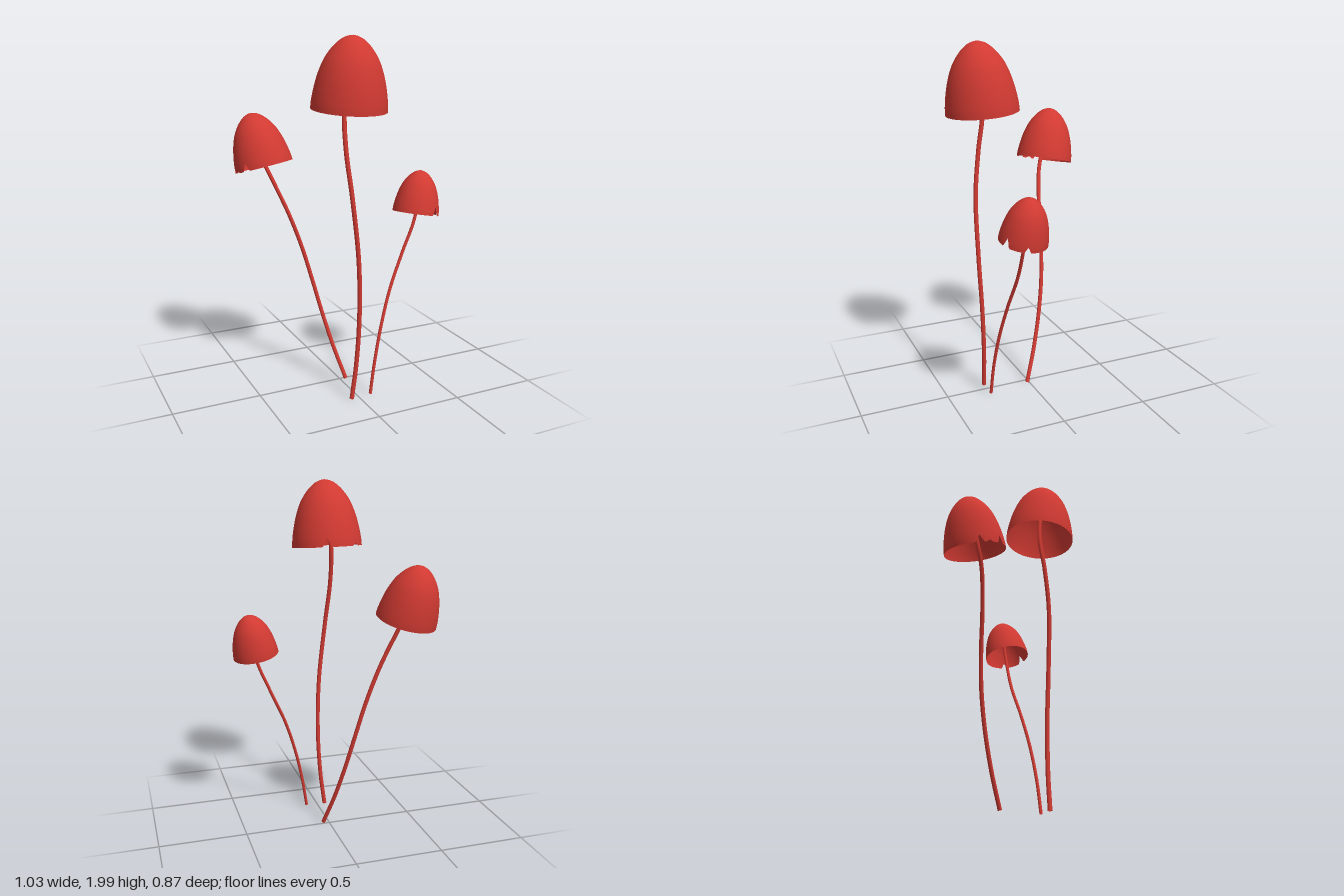
import * as THREE from 'three';

const V = (a) => new THREE.Vector3(...a);

// Dome outline as fractions of rim radius and cap height, rim to tip
const DOME = [[1, 0], [0.985, 0.12], [0.93, 0.3], [0.84, 0.49], [0.7, 0.68],
  [0.5, 0.84], [0.29, 0.945], [0.12, 0.988], [0, 1]];
const domeCurve = new THREE.SplineCurve(DOME.map(([r, h]) => new THREE.Vector2(r, h)));
const domePoints = domeCurve.getPoints(64);

// Radius fraction of the dome at a height fraction
function radiusAt(h) {
  const i = Math.max(1, domePoints.findIndex((p) => p.y >= h));
  const a = domePoints[i - 1], b = domePoints[i];
  return THREE.MathUtils.mapLinear(h, a.y, b.y, a.x, b.x);
}

// Thin open cap; each tear is [x, z, half width, depth], x/z giving its direction
function capGeometry(radius, height, tears) {
  const geo = new THREE.LatheGeometry(
    domePoints.map((p) => new THREE.Vector2(Math.max(0, p.x) * radius, p.y * height)), 144);
  const pos = geo.attributes.position;
  for (let i = 0; i < pos.count; i++) {
    const x = pos.getX(i), y = pos.getY(i), z = pos.getZ(i);
    const angle = Math.atan2(x, z);
    let lift = 0;
    for (const [tx, tz, half, depth] of tears) {
      let d = angle - Math.atan2(tx, tz);
      d = Math.abs(Math.atan2(Math.sin(d), Math.cos(d)));
      lift = Math.max(lift, depth * (1 - d / (half / radius)));
    }
    // Raise the rim along the dome wall to open the tear
    if (y < lift) {
      const r = radiusAt(lift / height) * radius;
      pos.setXYZ(i, r * Math.sin(angle), lift, r * Math.cos(angle));
    }
  }
  return geo;
}

const MUSHROOMS = [
  {
    name: 'tallMushroom', stemRadius: 0.0125,
    stem: [[-0.047, 0.01, 0.26], [-0.022, 0.22, 0.265], [-0.01, 0.5, 0.275], [-0.022, 0.82, 0.287],
      [-0.06, 1.17, 0.283], [-0.083, 1.42, 0.253], [-0.08, 1.63, 0.227], [-0.054, 1.98, 0.268]],
    rim: [-0.058, 1.625, 0.235], axis: [0.02, 1, 0.085], radius: 0.2, height: 0.375,
    tears: [[0.28, -0.96, 0.024, 0.06], [-0.6, -0.8, 0.022, 0.015]],
  },
  {
    name: 'middleMushroom', stemRadius: 0.0115,
    stem: [[0.033, 0.01, 0.014], [-0.018, 0.2, -0.052], [-0.065, 0.4, -0.105], [-0.111, 0.6, -0.142],
      [-0.165, 0.8, -0.164], [-0.235, 1.0, -0.183], [-0.318, 1.2, -0.218], [-0.358, 1.31, -0.255],
      [-0.396, 1.54, -0.326]],
    rim: [-0.348, 1.272, -0.266], axis: [-0.18, 1, -0.22], radius: 0.166, height: 0.31,
    tears: [[-0.98, -0.17, 0.022, 0.04], [-0.82, 0.57, 0.022, 0.045], [-0.95, 0.15, 0.02, 0.012]],
  },
  {
    name: 'shortMushroom', stemRadius: 0.009,
    stem: [[0.07, 0.015, 0.26], [0.1, 0.2, 0.252], [0.147, 0.4, 0.235], [0.213, 0.6, 0.21],
      [0.302, 0.8, 0.187], [0.382, 1.0, 0.185], [0.422, 1.235, 0.167]],
    rim: [0.381, 1.025, 0.191], axis: [0.19, 1, -0.1], radius: 0.13, height: 0.242,
    tears: [[0.42, 0.9, 0.02, 0.05], [0.97, 0.22, 0.018, 0.03]],
  },
];

export function createModel() {
  const red = new THREE.MeshStandardMaterial({ color: 0xd13a32, side: THREE.DoubleSide });
  red.name = 'red';
  const model = new THREE.Group();
  model.name = 'mushroomCluster';

  for (const m of MUSHROOMS) {
    const group = new THREE.Group();
    group.name = m.name;

    // Curved stem running up to the inside of the cap tip
    const path = new THREE.CatmullRomCurve3(m.stem.map(V));
    const stem = new THREE.Mesh(new THREE.TubeGeometry(path, 60, m.stemRadius, 12), red);
    stem.name = 'stem';

    // Leaning dome cap with a torn rim
    const cap = new THREE.Mesh(capGeometry(m.radius, m.height, m.tears), red);
    cap.name = 'cap';
    cap.position.set(...m.rim);
    cap.quaternion.setFromUnitVectors(new THREE.Vector3(0, 1, 0), V(m.axis).normalize());

    group.add(stem, cap);
    model.add(group);
  }
  return model;
}
